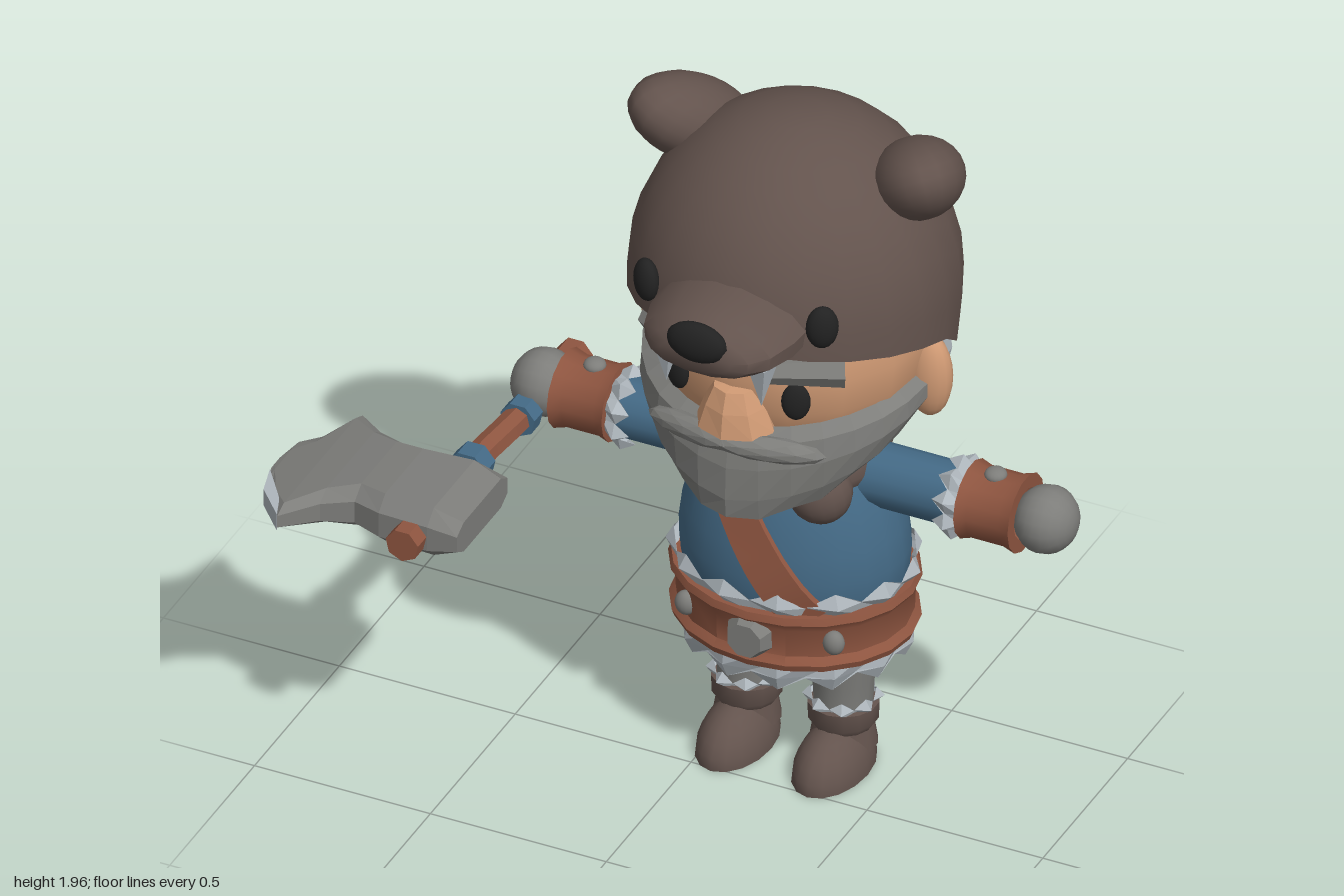
import * as THREE from 'three';
import { toCreasedNormals } from 'three/addons/utils/BufferGeometryUtils.js';

const paint = (name, color) => {
  const m = new THREE.MeshStandardMaterial({ color, side: THREE.DoubleSide });
  m.name = name;
  return m;
};

// Piecewise linear lookup in [key, value] pairs with rising keys
function lookup(t, table) {
  for (let i = 1; i < table.length; i++) {
    const [a, va] = table[i - 1], [b, vb] = table[i];
    if (t <= b) return va + (vb - va) * Math.max(0, (t - a) / (b - a));
  }
  return table[table.length - 1][1];
}

// Surface from rings of points; fn(i, j) gives column i of row j
function grid(cols, rows, closed, fn) {
  const pos = [], idx = [];
  for (let j = 0; j < rows; j++) for (let i = 0; i < cols; i++) pos.push(...fn(i, j));
  for (let j = 0; j < rows - 1; j++) {
    for (let i = 0; i < (closed ? cols : cols - 1); i++) {
      const k = (i + 1) % cols, a = j * cols;
      idx.push(a + i, a + k, a + cols + i, a + k, a + cols + k, a + cols + i);
    }
  }
  const g = new THREE.BufferGeometry();
  g.setAttribute('position', new THREE.Float32BufferAttribute(pos, 3));
  g.setIndex(idx);
  g.computeVertexNormals();
  return g;
}

function flat(g) {
  const f = g.index ? g.toNonIndexed() : g;
  f.computeVertexNormals();
  return f;
}

const lathe = (pts, sides, zs = 1) => toCreasedNormals(
  new THREE.LatheGeometry(pts.map(p => new THREE.Vector2(...p)), sides).scale(1, 1, zs), 0.7);

// Jagged fur band: straight edge at y0, pointed tufts towards y1
const fur = (r0, r1, y0, y1, teeth, zs = 1, from = 0, to = Math.PI * 2) =>
  flat(grid(teeth * 2 + 1, 3, false, (i, j) => {
    const a = from + (to - from) * i / (teeth * 2), tip = i % 2;
    const r = [r0, r1 + (tip ? 0.012 : -0.012), r1 - 0.01][j];
    const y = [y0, (y0 + y1) / 2, tip ? y1 : y0 + (y1 - y0) * 0.55][j];
    return [r * Math.sin(a), y, r * Math.cos(a) * zs];
  }));

export function createModel() {
  const brown = paint('brown hide', 0x63534d), grey = paint('grey', 0x7d7d7a);
  const skin = paint('skin', 0xd09a74), leather = paint('leather', 0x8e5540);
  const blue = paint('blue cloth', 0x446a86), pale = paint('pale fur', 0xaeb6bc);
  const black = paint('black', 0x222222);

  const root = new THREE.Group(), figure = new THREE.Group();
  root.name = 'axeWarrior';
  figure.name = 'figure';
  figure.position.set(0.2, 0, -0.2);
  root.add(figure);

  const add = (name, geo, mat, p = [0, 0, 0], rot = [0, 0, 0], parent = figure) => {
    const m = new THREE.Mesh(geo, mat);
    m.name = name;
    m.position.set(...p);
    m.rotation.set(...rot);
    parent.add(m);
    return m;
  };
  const ball = (name, mat, p, s, rot, parent) =>
    add(name, new THREE.SphereGeometry(1, 16, 12).scale(...s), mat, p, rot, parent);

  // Head and beard
  ball('head', skin, [0, 1.36, 0], [0.38, 0.38, 0.38]);
  const beardCols = 15;
  add('beard', flat(grid(beardCols, 6, false, (i, j) => {
    const a = -1.48 + 2.96 * i / (beardCols - 1), k = Math.abs(a) / 1.48;
    const v = [0, 0.12, 0.4, 0.75, 1, 0.8][j];
    const top = 1.21 + 0.06 * k, low = 0.94 + 0.18 * Math.pow(k, 1.4) + (i % 2 && j > 3 ? 0.012 : 0);
    const r = [0.36, 0.395, 0.41 - 0.015 * k, 0.415 - 0.06 * k, 0.41 - 0.12 * k, 0.15][j];
    return [r * Math.sin(a), top + (low - top) * v, r * Math.cos(a)];
  })), grey);
  add('nose', flat(grid(8, 5, true, (i, j) => {
    const a = i / 8 * Math.PI * 2, w = [0, 0.06, 0.085, 0.11, 0][j], d = [0, 0.06, 0.08, 0.09, 0][j];
    return [w * Math.cos(a), [1.34, 1.335, 1.28, 1.21, 1.18][j], 0.35 + d * Math.sin(a)];
  })), skin);

  // Bear hood: dome with a rim that drops towards the back
  const rim = [[-1, 1.25], [-0.25, 1.3], [-0.07, 1.37], [0.3, 1.42], [1, 1.49]];
  add('hood', toCreasedNormals(grid(24, 12, true, (i, j) => {
    const a = i / 24 * Math.PI * 2, low = lookup(Math.cos(a), rim);
    const polar = Math.acos((low - 1.48) / 0.475) * (1 - Math.max(0, j - 1) / 10);
    const r = j === 0 ? 0.36 : 0.433 * Math.pow(Math.sin(polar), polar > Math.PI / 2 ? 0.35 : 1);
    const y = j === 0 ? low + 0.02 : 1.48 + 0.475 * Math.cos(polar);
    return [r * Math.sin(a), y, r * Math.cos(a)];
  }), 0.7), brown);
  const snout = [[0.25, 0.215, 0.1], [0.43, 0.205, 0.1], [0.52, 0.18, 0.085], [0.57, 0.14, 0.07], [0.59, 0.1, 0.045], [0.59, 0, 0]];
  add('hoodMuzzle', toCreasedNormals(grid(14, 6, true, (i, j) => {
    const a = i / 14 * Math.PI * 2, [z, w, h] = snout[j], s = Math.sin(a);
    return [w * Math.cos(a) * (1 - 0.2 * s), 1.565 + h * s, z];
  }), 0.7), brown);
  ball('hoodNose', black, [0, 1.6, 0.58], [0.085, 0.058, 0.035]);
  add('napeFur', fur(0.39, 0.39, 1.33, 1.13, 8, 1, 1.85, Math.PI * 2 - 1.85), pale);

  for (const s of [-1, 1]) {
    // Facial and hood details
    ball('eye', black, [s * 0.168, 1.32, 0.345], [0.038, 0.055, 0.02], [0, s * 0.4, 0]);
    ball('ear', skin, [s * 0.375, 1.25, -0.01], [0.065, 0.125, 0.05]);
    add('eyebrow', flat(new THREE.CylinderGeometry(0.035, 0.05, 0.2, 6)), grey,
      [s * 0.19, 1.42, 0.335], [0, s * 0.5, Math.PI / 2]);
    add('moustache', flat(new THREE.IcosahedronGeometry(1, 1).scale(0.15, 0.035, 0.035)), grey,
      [s * 0.11, 1.18, 0.385], [0, s * 0.3, -s * 0.08]);
    add('fang', flat(new THREE.ConeGeometry(0.04, 0.13, 5)), pale, [s * 0.135, 1.445, 0.48], [Math.PI, 0, 0]);
    ball('hoodEye', black, [s * 0.25, 1.585, 0.36], [0.043, 0.062, 0.03], [0, s * 0.6, 0]);
    const long = new THREE.Vector3(s * 0.42, 0.53, 0.74).normalize();
    const side = new THREE.Vector3(s * 0.8, 0.2, -0.6).cross(long).normalize();
    const basis = new THREE.Matrix4().makeBasis(long, side, long.clone().cross(side));
    ball('hoodEar', brown, [s * 0.32, 1.81, -0.06], [0.21, 0.11, 0.125]).quaternion.setFromRotationMatrix(basis);

    // Arm built along y, then laid out sideways
    const arm = new THREE.Group();
    arm.name = s > 0 ? 'leftArm' : 'rightArm';
    arm.position.set(0, 0.905, 0);
    arm.rotation.z = -s * Math.PI / 2;
    figure.add(arm);
    const o = [0, 0, 0];
    add('sleeve', lathe([[0.095, 0.08], [0.085, 0.25], [0.085, 0.48]], 14), blue, o, o, arm);
    add('sleeveFur', fur(0.085, 0.105, 0.51, 0.43, 9), pale, o, o, arm);
    add('cuff', lathe([[0.07, 0.495], [0.107, 0.5], [0.097, 0.53], [0.097, 0.62], [0.108, 0.655], [0.07, 0.655]], 14), leather, o, o, arm);
    ball('hand', grey, [0, 0.715, 0], [0.092, 0.085, 0.092], o, arm);
    ball('cuffStud', grey, [s * 0.57, 1.0, 0], [0.03, 0.02, 0.03]);

    // Leg and boot
    const x = s * 0.137;
    add('leg', lathe([[0.1, 0.42], [0.092, 0.32], [0.082, 0.25], [0.078, 0.18]], 14), grey, [x, 0, 0]);
    add('legFur', fur(0.075, 0.095, 0.165, 0.215, 8), pale, [x, 0, 0]);
    add('bootShaft', lathe([[0.06, 0.185], [0.095, 0.18], [0.093, 0.13], [0.08, 0.11], [0.09, 0.05]], 14), brown, [x, 0, 0]);
    const foot = new THREE.SphereGeometry(1, 16, 12).scale(0.096, 0.125, 0.16);
    const fp = foot.attributes.position;
    for (let i = 0; i < fp.count; i++) {
      const z = fp.getZ(i);
      if (fp.getY(i) < 0) fp.setY(i, 0);
      if (z < 0) fp.setZ(i, Math.max(z, -0.13));
    }
    foot.computeVertexNormals();
    add('bootFoot', foot, brown, [x, 0, 0.055]);

    // Front ends of the collar and belt studs
    ball('collarEnd', brown, [s * 0.15, 0.925, 0.165], [0.085, 0.09, 0.075], [0, s * 0.5, s * 0.2]);
    ball('beltStud', grey, [s * 0.21, 0.5, 0.21], [0.03, 0.035, 0.025]);
  }
  add('kneeBand', lathe([[0.08, 0.25], [0.097, 0.255], [0.1, 0.305], [0.08, 0.31]], 14), leather, [-0.137, 0, 0]);

  // Torso, hips and strap
  const body = [[0.28, 0.48], [0.305, 0.6], [0.31, 0.66], [0.3, 0.74], [0.275, 0.84], [0.24, 0.92], [0.19, 1.0], [0.08, 1.05]];
  add('tunic', lathe(body, 24, 0.83), blue);
  add('hips', lathe([[0, 0.31], [0.12, 0.32], [0.22, 0.36], [0.27, 0.42], [0.28, 0.5]], 20, 0.85), grey);
  const girth = body.map(([r, y]) => [y, r]);
  for (const s of [-1, 1]) {
    add(s > 0 ? 'strapFront' : 'strapBack', toCreasedNormals(grid(13, 4, false, (i, j) => {
      const t = i / 12, edge = [-1, -1, 1, 1][j] * 0.055, lift = j === 0 || j === 3 ? 0 : 0.018;
      const y = 0.56 + 0.46 * t + edge * 0.57, x = (0.77 - 0.56 - 0.46 * t) / 1.43 + edge * 0.82;
      const r = lookup(y, girth) + lift;
      return [x, y, s * 0.85 * Math.sqrt(Math.max(0.0004, r * r - x * x))];
    }), 0.6), leather);
  }
  const collar = new THREE.TorusGeometry(0.17, 0.08, 10, 20, Math.PI * 2 - 1.4);
  add('collar', collar.rotateZ(Math.PI / 2 + 0.7).rotateX(Math.PI / 2), brown, [0, 0.95, -0.01], [0.08, 0, 0]);

  // Belt with fur trims and buckle
  add('belt', lathe([[0.28, 0.41], [0.325, 0.415], [0.333, 0.435], [0.315, 0.455], [0.318, 0.535], [0.335, 0.56], [0.328, 0.58], [0.28, 0.58]], 20, 0.87), leather);
  add('upperBeltFur', fur(0.305, 0.33, 0.565, 0.645, 13, 0.85), pale);
  add('lowerBeltFur', fur(0.315, 0.31, 0.43, 0.34, 13, 0.87), pale);
  add('buckle', flat(new THREE.CylinderGeometry(0.05, 0.072, 0.05, 8)), grey, [0, 0.5, 0.28], [Math.PI / 2, Math.PI / 8, 0]);

  // Axe held in the right hand
  const axe = new THREE.Group();
  axe.name = 'axe';
  root.add(axe);
  const spots = [[-0.52, -0.4], [-0.525, -0.1], [-0.545, 0.15], [-0.545, 0.57]];
  const path = new THREE.CatmullRomCurve3(spots.map(([x, z]) => new THREE.Vector3(x, 0.865, z)));
  add('handle', flat(new THREE.TubeGeometry(path, 10, 0.038, 7)), leather, undefined, undefined, axe);
  const ring = (name, mat, r, len, x, z) =>
    add(name, flat(new THREE.CylinderGeometry(r, r, len, 7)), mat, [x, 0.865, z], [Math.PI / 2, 0, 0], axe);
  ring('pommel', leather, 0.05, 0.09, -0.52, -0.355);
  ring('handleEnd', leather, 0.047, 0.05, -0.545, 0.55);
  ring('lowerBinding', blue, 0.05, 0.05, -0.525, -0.09);
  ring('upperBinding', blue, 0.056, 0.06, -0.543, 0.17);
  // Blade stations: x, near z, far z, half thickness
  const blade = [[-0.42, 0.35, 0.37, 0], [-0.42, 0.21, 0.51, 0.045], [-0.5, 0.2, 0.52, 0.073], [-0.64, 0.21, 0.515, 0.073], [-0.72, 0.2, 0.49, 0.065],
    [-0.8, 0.17, 0.53, 0.052], [-0.88, 0.11, 0.615, 0.035], [-0.935, 0.23, 0.55, 0.02], [-0.985, 0.27, 0.45, 0.006], [-1, 0.35, 0.4, 0]];
  add('blade', flat(grid(8, blade.length, true, (i, j) => {
    const [x, z0, z1, h] = blade[j], m = Math.min(0.04, (z1 - z0) / 3);
    const z = [z0, z0 + m, z1 - m, z1, z1, z1 - m, z0 + m, z0][i];
    return [x, 0.865 + h * [0.5, 1, 1, 0.5, -0.5, -1, -1, -0.5][i], z];
  })), grey, undefined, undefined, axe);
  const chip = new THREE.Shape([[-0.985, 0.44], [-0.96, 0.53], [-0.88, 0.618], [-0.905, 0.55]].map(p => new THREE.Vector2(...p)));
  add('sharpEdge', new THREE.ExtrudeGeometry(chip, { depth: 0.05, bevelEnabled: false }).rotateX(Math.PI / 2),
    pale, [0, 0.89, 0], undefined, axe);

  return root;
}
